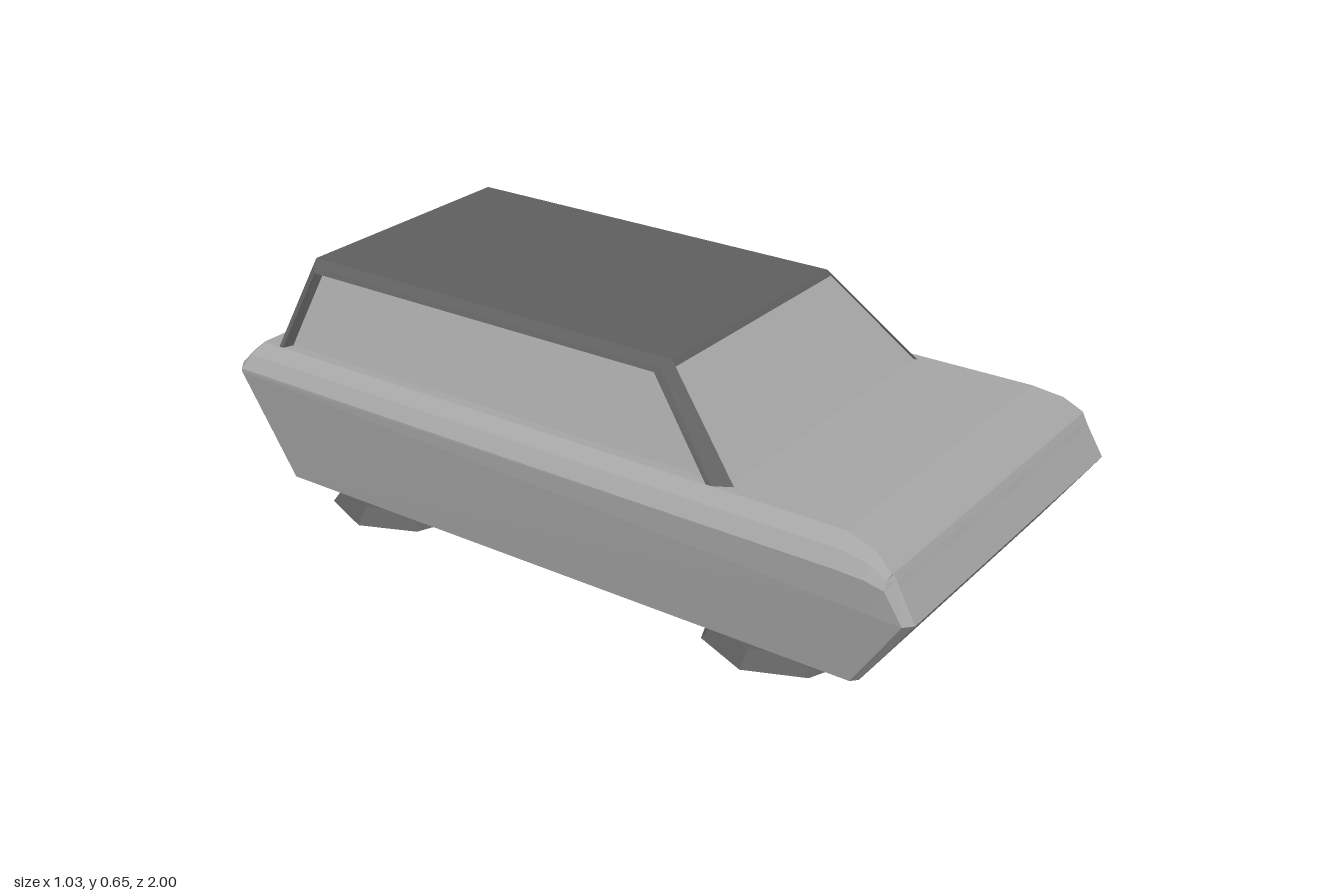
import * as THREE from 'three';

const paint = new THREE.MeshStandardMaterial({ color: 0xa6a6a6, flatShading: true });
const dark = new THREE.MeshStandardMaterial({ color: 0x606060, flatShading: true });

// Skins a row of equal-length loops and closes both ends with strips.
function loft(loops) {
  const n = loops[0].length;
  const tris = [];
  const quad = (a, b, c, d) => tris.push([a, b, c], [a, c, d]);
  for (let s = 0; s < loops.length - 1; s++) {
    for (let i = 0; i < n; i++) {
      const j = (i + 1) % n;
      quad(loops[s][i], loops[s][j], loops[s + 1][j], loops[s + 1][i]);
    }
  }
  const first = loops[0], last = loops[loops.length - 1];
  for (let i = 0; i < n / 2 - 1; i++) {
    const k = n - 1 - i;
    quad(first[i], first[k], first[k - 1], first[i + 1]);
    quad(last[i], last[i + 1], last[k - 1], last[k]);
  }
  // Turn the faces outward when the signed volume is negative
  const v = tris.map(t => t.map(p => new THREE.Vector3(...p)));
  const volume = v.reduce((sum, [a, b, c]) => sum + a.dot(b.clone().cross(c)), 0);
  if (volume < 0) v.forEach(t => t.reverse());
  const geometry = new THREE.BufferGeometry().setFromPoints(v.flat());
  geometry.computeVertexNormals();
  return geometry;
}

const flip = ([x, y, z]) => [-x, y, z];
const mirrored = half => [...half, ...half.map(flip).reverse()];

export function createModel() {
  const model = new THREE.Group();
  const add = (name, geometry, material) => {
    const mesh = new THREE.Mesh(geometry, material);
    mesh.name = name;
    model.add(mesh);
    return mesh;
  };

  // Body, nose to tail: bottom edge, side crease, rim, shoulder bevel, top edge
  const stations = [
    [[0.462, 0.07, 0.86], [0.485, 0.27, 1.0], [0.481, 0.345, 0.957], [0.48, 0.36, 0.949], [0.48, 0.375, 0.94]],
    [[0.478, 0.07, 0.845], [0.507, 0.27, 0.98], [0.511, 0.345, 0.935], [0.499, 0.366, 0.934], [0.486, 0.377, 0.938]],
    [[0.478, 0.07, 0.765], [0.507, 0.274, 0.89], [0.513, 0.357, 0.885], [0.494, 0.388, 0.886], [0.47, 0.41, 0.89]],
    [[0.478, 0.07, 0.69], [0.507, 0.277, 0.81], [0.513, 0.36, 0.81], [0.491, 0.399, 0.81], [0.455, 0.427, 0.81]],
    [[0.478, 0.07, -0.85], [0.513, 0.355, -0.98], [0.513, 0.364, -0.98], [0.49, 0.4, -0.965], [0.455, 0.427, -0.945]],
    [[0.455, 0.07, -0.87], [0.488, 0.36, -1.0], [0.488, 0.368, -1.0], [0.47, 0.403, -0.973], [0.45, 0.427, -0.95]],
  ];
  add('body', loft(stations.map(mirrored)), paint);

  // Cabin: windscreen, rear window and inset side windows
  add('windows', loft([
    mirrored([[0.43, 0.42, 0.5], [0.43, 0.42, -0.885]]),
    mirrored([[0.346, 0.637, 0.283], [0.346, 0.637, -0.838]]),
  ]), paint);

  // Thin roof panel
  add('roof', loft([
    mirrored([[0.346, 0.636, 0.286], [0.346, 0.636, -0.85]]),
    mirrored([[0.345, 0.65, 0.274], [0.345, 0.65, -0.845]]),
  ]), dark);

  // Side frames: front pillar, roof rail and rear pillar in one bent strip
  const frame = [
    [[0.43, 0.425, 0.505], [0.455, 0.425, 0.46], [0.455, 0.425, 0.445], [0.42, 0.425, 0.435]],
    [[0.345, 0.65, 0.275], [0.367, 0.633, 0.26], [0.375, 0.622, 0.245], [0.34, 0.608, 0.235]],
    [[0.345, 0.65, -0.845], [0.367, 0.633, -0.835], [0.375, 0.622, -0.825], [0.34, 0.608, -0.81]],
    [[0.43, 0.425, -0.912], [0.455, 0.425, -0.895], [0.455, 0.425, -0.882], [0.42, 0.425, -0.868]],
  ];
  add('leftWindowFrame', loft(frame), dark);
  add('rightWindowFrame', loft(frame.map(loop => loop.map(flip))), dark);

  // Wheels: shallow eight-sided discs under the body
  for (const [end, z] of [['front', 0.565], ['rear', -0.62]]) {
    for (const [side, x] of [['Left', 0.288], ['Right', -0.28]]) {
      const wheel = add(end + side + 'Wheel', new THREE.CylinderGeometry(0.178, 0.209, 0.04, 8), dark);
      wheel.position.set(x, 0.02, z);
    }
  }
  return model;
}
